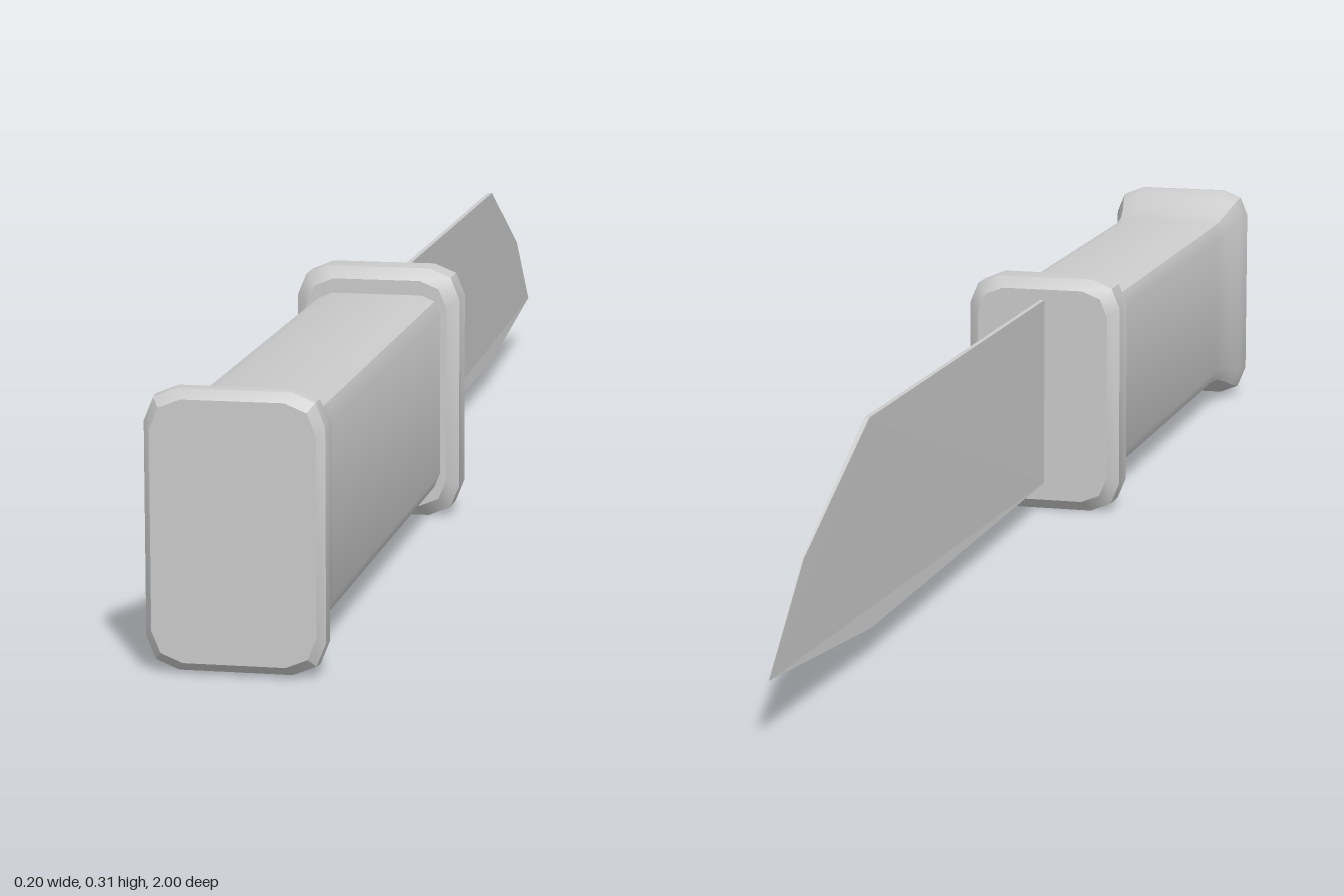
import * as THREE from 'three';
import { toCreasedNormals } from 'three/addons/utils/BufferGeometryUtils.js';

const MID = 0.156; // height of the knife's long axis

// Rectangle with three-point rounded corners, counter-clockwise seen from +z
function ring([z, hx, hy, c]) {
  const corner = [[hx, hy - c], [hx - c * 0.29, hy - c * 0.29], [hx - c, hy]];
  const points = [];
  for (const [sx, sy] of [[1, 1], [-1, 1], [-1, -1], [1, -1]]) {
    const list = sx * sy > 0 ? corner : [...corner].reverse();
    for (const [x, y] of list) points.push([sx * x, MID + sy * y, z]);
  }
  return points;
}

// Closed loft through sections [z, half width, half height, corner], from low z to high z
function loft(sections, crease) {
  const rings = sections.map(ring);
  const n = rings[0].length;
  const last = rings.length - 1;
  const pos = rings.flat(2);
  const index = [];
  for (let i = 0; i < last; i++) {
    for (let j = 0; j < n; j++) {
      const k = (j + 1) % n;
      const a = i * n + j, b = i * n + k;
      index.push(a, b, b + n, a, b + n, a + n);
    }
  }
  for (let j = 1; j < n - 1; j++) {
    index.push(0, j + 1, j);
    index.push(last * n, last * n + j, last * n + j + 1);
  }
  const geometry = new THREE.BufferGeometry();
  geometry.setAttribute('position', new THREE.Float32BufferAttribute(pos, 3));
  geometry.setIndex(index);
  return toCreasedNormals(geometry, crease);
}

export function createModel() {
  const group = new THREE.Group();
  const material = new THREE.MeshStandardMaterial({ color: 0xcccccc });
  const add = (name, geometry) => {
    const mesh = new THREE.Mesh(geometry, material);
    mesh.name = name;
    group.add(mesh);
  };

  // Grip flaring into the pommel
  add('handle', loft([
    [0.19, 0.08, 0.124, 0.024],
    [0.86, 0.08, 0.124, 0.024],
    [0.895, 0.083, 0.127, 0.026],
    [0.925, 0.088, 0.136, 0.029],
    [0.955, 0.095, 0.148, 0.033],
    [0.975, 0.099, 0.154, 0.036],
    [0.99, 0.098, 0.153, 0.036],
    [1.0, 0.09, 0.143, 0.034],
  ], 0.5));

  // Bevelled guard plate
  add('guard', loft([
    [0.145, 0.088, 0.142, 0.034],
    [0.158, 0.102, 0.156, 0.038],
    [0.197, 0.102, 0.156, 0.038],
    [0.21, 0.088, 0.142, 0.034],
  ], 0.5));

  // Thin blade, outline drawn as (-z, y), thinning toward the tip
  const outline = [[-0.16, 0.037], [0.64, 0.037], [1, 0.07], [0.88, 0.175], [0.64, 0.284], [-0.16, 0.284]];
  const shape = new THREE.Shape(outline.map(([x, y]) => new THREE.Vector2(x, y)));
  const blade = new THREE.ExtrudeGeometry(shape, { depth: 0.006, bevelEnabled: false });
  blade.translate(0, 0, -0.003).rotateY(Math.PI / 2);
  const p = blade.attributes.position;
  for (let i = 0; i < p.count; i++) {
    p.setX(i, p.getX(i) * THREE.MathUtils.clamp((1.02 + p.getZ(i)) / 0.38, 0.05, 1));
  }
  blade.computeVertexNormals();
  add('blade', blade);

  return group;
}
